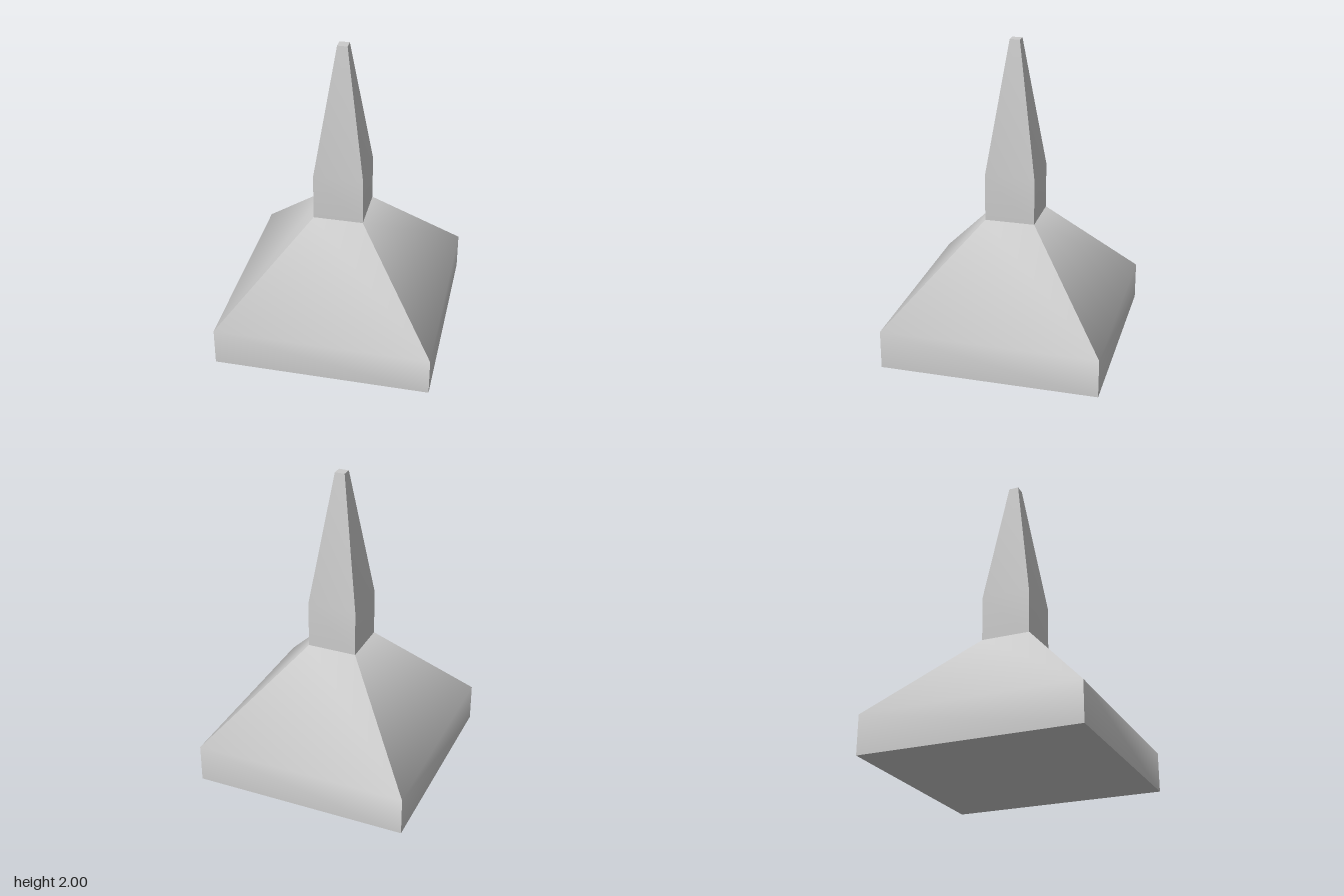
import * as THREE from 'three';
import { toCreasedNormals } from 'three/addons/utils/BufferGeometryUtils.js';

const material = new THREE.MeshStandardMaterial({ color: 0xcccccc });

// Square solid from a profile of [half width, height] pairs, bottom to top;
// corners and caps stay sharp while the folds in each side shade smoothly.
function squareSolid(name, profile) {
  const points = profile.map(([half, y]) => new THREE.Vector2(half * Math.SQRT2, y));
  const geometry = new THREE.LatheGeometry(points, 4, Math.PI / 4);
  const mesh = new THREE.Mesh(toCreasedNormals(geometry, THREE.MathUtils.degToRad(50)), material);
  mesh.name = name;
  return mesh;
}

export function createModel() {
  const model = new THREE.Group();
  model.name = 'spireRoof';

  // Wide base with sloping shoulders
  model.add(squareSolid('base', [[0, 0], [0.695, 0], [0.695, 0.25], [0.16, 0.85], [0, 0.85]]));

  // Short square shaft tapering to a small flat tip
  model.add(squareSolid('spire', [[0, 0.85], [0.16, 0.85], [0.16, 1.15], [0.032, 2], [0, 2]]));

  return model;
}
